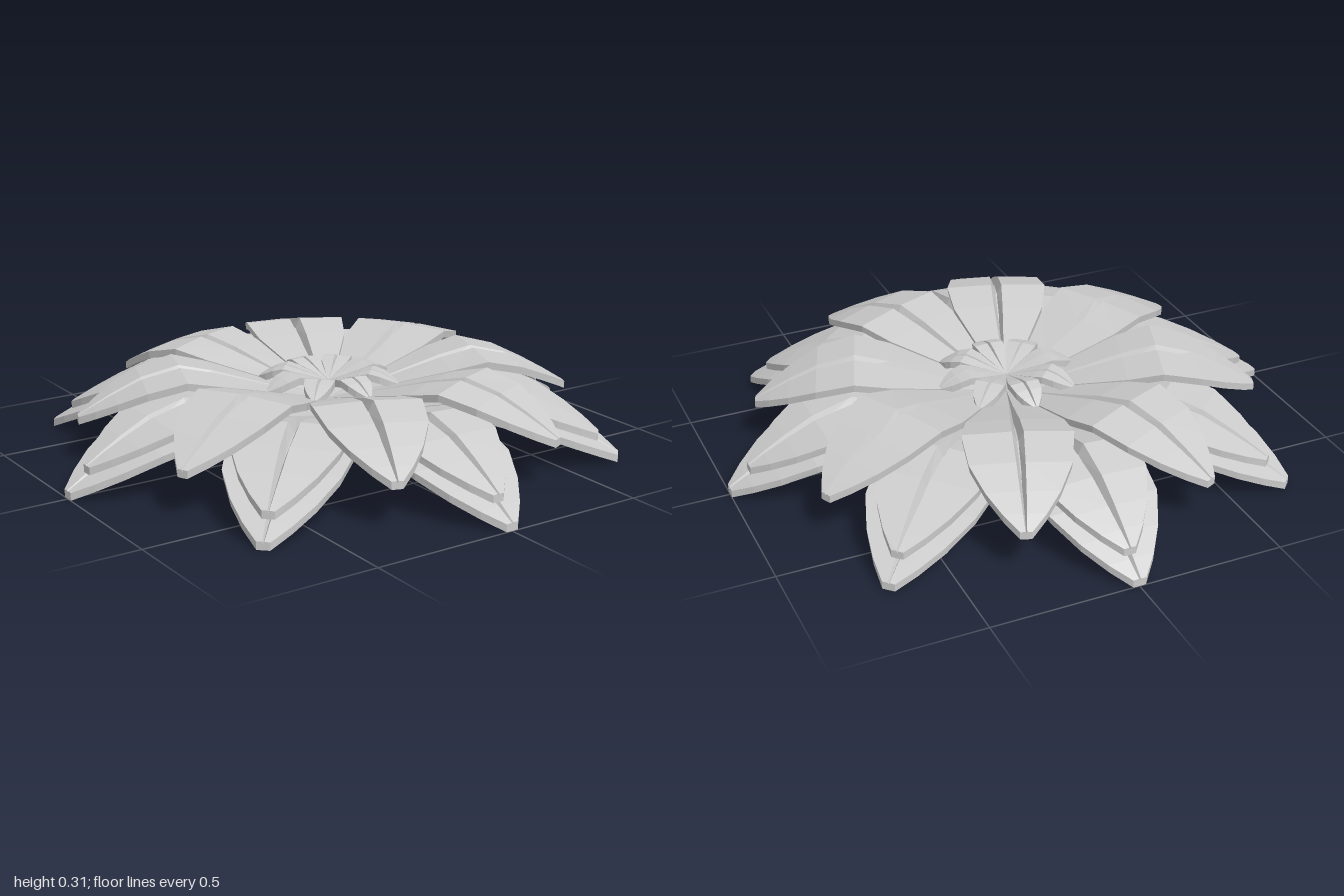
import * as THREE from 'three';

// Petal stations along its length: [radius, half width, underside height, groove half width]
const STATIONS = [
  [0, 0.004, 0, 0],
  [0.25, 0.1, 0.07, 0.007],
  [0.46, 0.185, 0.13, 0.018],
  [0.6, 0.208, 0.162, 0.022],
  [0.75, 0.188, 0.125, 0.017],
  [0.86, 0.135, 0.075, 0.012],
  [0.94, 0.078, 0.034, 0.007],
  [1, 0.022, 0, 0.003],
];

// Thick petal along +x with a V groove down the middle of its upper face
function petalGeometry(thickness, grooveDepth) {
  const n = 8;
  const pos = [], index = [];
  for (const [r, w, y, g] of STATIONS) {
    const top = y + thickness;
    const depth = grooveDepth * Math.min(1, g / 0.018);
    const lip = top + 0.008 * Math.min(1, g / 0.018);
    const ring = [
      [top - depth, 0], [lip, g], [top, w], [y, w * 0.98],
      [y - 0.004 * Math.min(1, g / 0.018), 0],
      [y, -w * 0.98], [top, -w], [lip, -g],
    ];
    for (const [py, pz] of ring) pos.push(r, py, pz);
  }
  for (let i = 0; i < STATIONS.length - 1; i++) {
    for (let j = 0; j < n; j++) {
      const a = i * n + j, b = i * n + (j + 1) % n;
      index.push(a, b, a + n, b, b + n, a + n);
    }
  }
  // Tip cap
  const e = (STATIONS.length - 1) * n;
  for (let j = 1; j < n - 1; j++) index.push(e, e + j, e + j + 1);

  const geo = new THREE.BufferGeometry();
  geo.setAttribute('position', new THREE.Float32BufferAttribute(pos, 3));
  geo.setIndex(index);
  const flat = geo.toNonIndexed();
  flat.computeVertexNormals();
  return flat;
}

export function createModel() {
  const model = new THREE.Group();
  model.name = 'flower';
  const material = new THREE.MeshStandardMaterial({
    color: 0xcccccc, flatShading: true, side: THREE.DoubleSide,
  });

  // Ring of eight identical petals
  function addLayer(name, { length, height, turn, thickness, groove, rise = 1 }) {
    const layer = new THREE.Group();
    layer.name = name;
    const geo = petalGeometry(thickness / (length * rise), groove / (length * rise));
    geo.scale(length, length * rise, length);
    for (let k = 0; k < 8; k++) {
      const petal = new THREE.Mesh(geo, material);
      petal.name = name + 'Petal';
      petal.rotation.y = -THREE.MathUtils.degToRad(turn + k * 45);
      layer.add(petal);
    }
    layer.position.y = height;
    model.add(layer);
  }

  addLayer('outerRing', { length: 1, height: 0.004, turn: 0, thickness: 0.026, groove: 0.03 });
  addLayer('middleRing', { length: 0.93, height: 0.075, turn: 0, thickness: 0.026, groove: 0.035 });
  addLayer('upperRing', { length: 0.865, height: 0.142, turn: 20, thickness: 0.026, groove: 0.035 });
  addLayer('centreRing', { length: 0.25, height: 0.205, turn: 0, thickness: 0.025, groove: 0.015, rise: 1.1 });

  return model;
}
